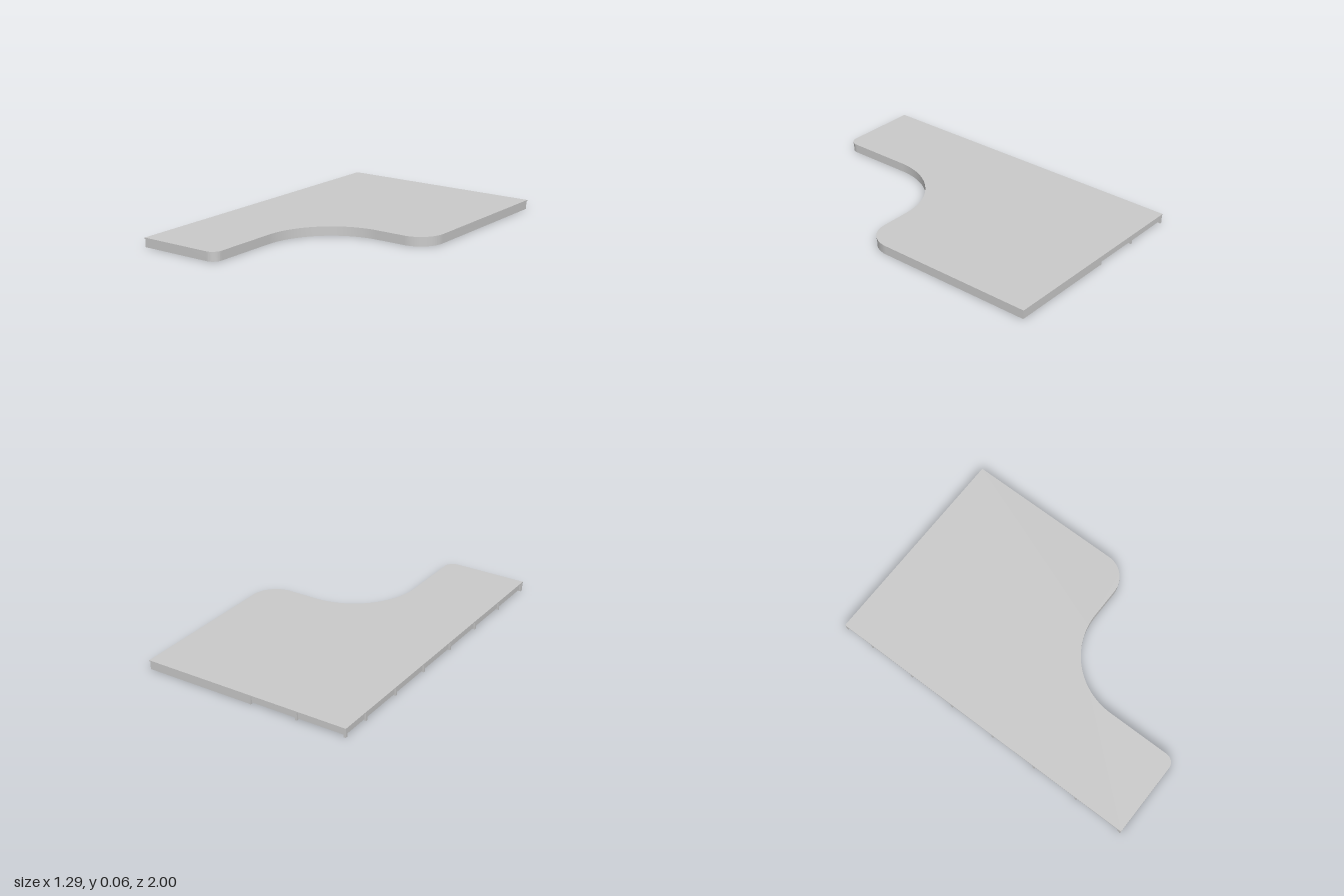
import * as THREE from 'three';
import { toCreasedNormals } from 'three/addons/utils/BufferGeometryUtils.js';

const X = 0.643, TOP = 0.056, UNDER = 0.049;
const material = new THREE.MeshStandardMaterial({ color: 0xcccccc });

// Curved edge from the front outer corner to the back; path y stands for -z.
function edgePoints() {
  const p = new THREE.Path();
  p.moveTo(-X, -1);
  p.lineTo(-0.19, -1);
  p.absarc(-0.19, -0.94, 0.06, -Math.PI / 2, 0, false);
  p.lineTo(-0.13, -0.55);
  p.absarc(0.3, -0.55, 0.43, Math.PI, Math.PI / 2, true);
  p.lineTo(X - 0.16, -0.12);
  p.absarc(X - 0.16, 0.04, 0.16, -Math.PI / 2, 0, false);
  p.lineTo(X, 1);
  p.lineTo(-0.04, 1);
  return p.getPoints(24).filter((q, i, a) => i === 0 || q.distanceTo(a[i - 1]) > 1e-5);
}

// Moves a polyline sideways (to its left) with mitred corners.
function offset(points, d) {
  return points.map((p, i) => {
    const a = points[Math.max(i - 1, 0)], b = points[Math.min(i + 1, points.length - 1)];
    const u = (i > 0 ? p.clone().sub(a) : b.clone().sub(p)).normalize();
    const v = (i < points.length - 1 ? b.clone().sub(p) : p.clone().sub(a)).normalize();
    const n = new THREE.Vector2(-u.y - v.y, u.x + v.x).normalize();
    const cos = n.x * -u.y + n.y * u.x;
    return p.clone().addScaledVector(n, d / cos);
  });
}

// Upright extrusion of a plan outline between two heights.
function slab(name, points, y0, y1) {
  let g = new THREE.ExtrudeGeometry(new THREE.Shape(points), { depth: y1 - y0, bevelEnabled: false });
  g.rotateX(-Math.PI / 2);
  g.translate(0, y0, 0);
  g = toCreasedNormals(g, 0.5);
  const m = new THREE.Mesh(g, material);
  m.name = name;
  return m;
}

function box(name, w, h, d, x, y, z) {
  const m = new THREE.Mesh(new THREE.BoxGeometry(w, h, d), material);
  m.name = name;
  m.position.set(x, y, z);
  return m;
}

export function createModel() {
  const model = new THREE.Group();
  model.name = 'platform';
  const edge = edgePoints();

  // Thin deck sheet
  model.add(slab('deck', [...edge, new THREE.Vector2(-X, 1)], UNDER, TOP));

  // Skirt hanging below the front, the curves, the side and part of the back
  const outer = offset(edge, 0.004), inner = offset(edge, 0.011);
  model.add(slab('skirt', [...outer, ...inner.reverse()], 0, UNDER));

  // Recessed walls along the straight side and the rest of the back
  const wallY = (0.008 + UNDER) / 2, wallH = UNDER - 0.008;
  model.add(box('sideWall', 0.006, wallH, 1.97, -X + 0.015, wallY, 0));
  model.add(box('backWall', 0.59, wallH, 0.006, -0.335, wallY, -0.985));

  // Support posts in front of the recessed walls
  for (let i = 0; i < 7; i++) {
    const z = -0.8 + i * 0.297;
    model.add(box('sidePost', 0.014, UNDER, 0.012, -X + 0.009, UNDER / 2, z));
    // Small bracket halfway to the next post
    if (i < 6) model.add(box('sideBracket', 0.008, 0.01, 0.008, -X + 0.01, UNDER - 0.005, z + 0.148));
  }
  for (const x of [-0.04, -0.335]) {
    model.add(box('backPost', 0.012, UNDER, 0.014, x, UNDER / 2, -0.991));
    model.add(box('backBracket', 0.008, 0.01, 0.008, x - 0.148, UNDER - 0.005, -0.99));
  }
  model.add(box('cornerPost', 0.014, UNDER, 0.014, -X + 0.009, UNDER / 2, -0.991));
  return model;
}
